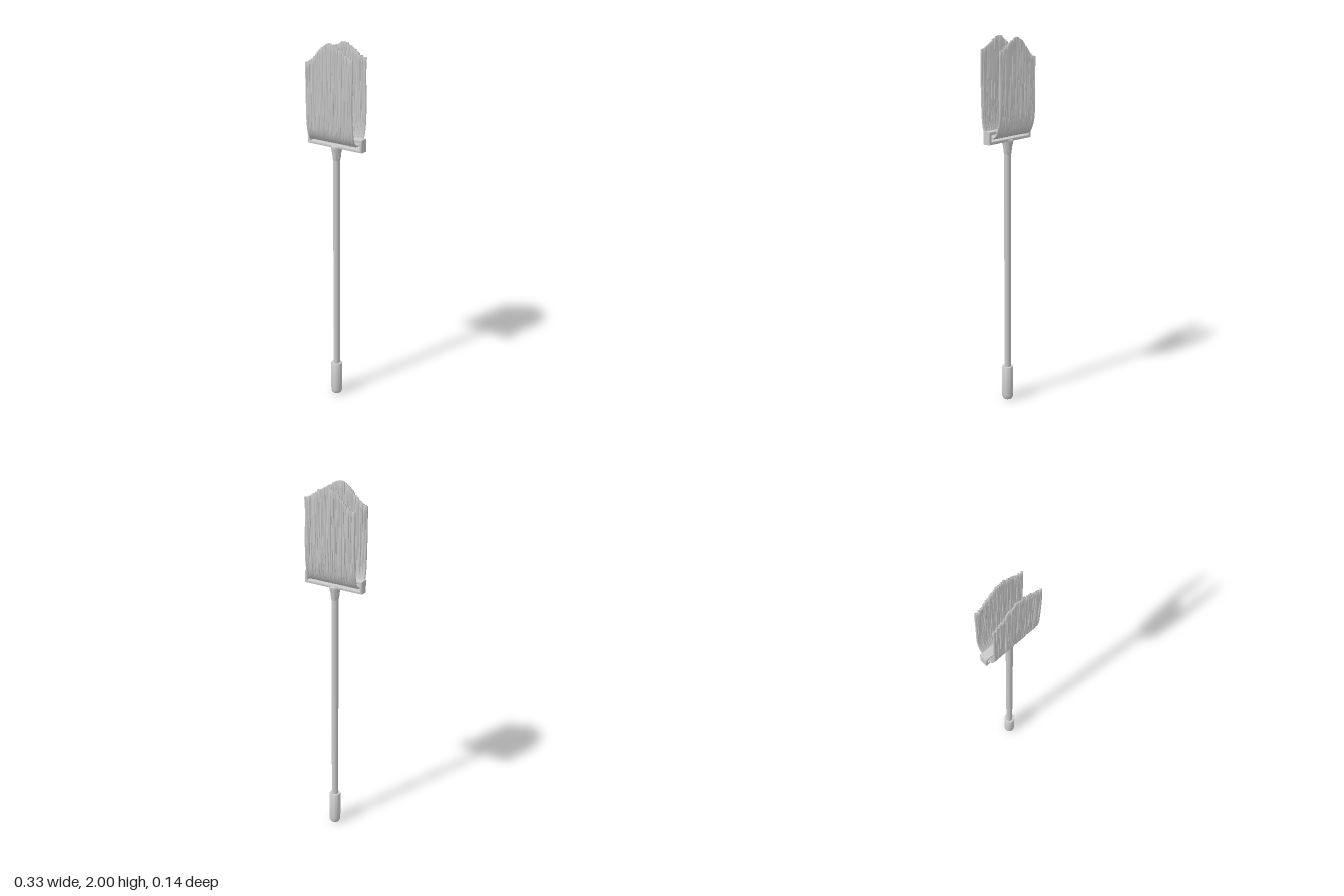
import * as THREE from 'three';
import { toCreasedNormals } from 'three/addons/utils/BufferGeometryUtils.js';

const material = new THREE.MeshStandardMaterial({ color: 0xcccccc });

// Small seeded generator, returns -1..1
let seed = 7;
const jitter = () => {
  seed = (seed * 16807) % 2147483647;
  return (seed / 2147483647) * 2 - 1;
};

function addMesh(parent, name, geometry) {
  const mesh = new THREE.Mesh(geometry, material);
  mesh.name = name;
  parent.add(mesh);
  return mesh;
}

function lathe(points) {
  const profile = points.map(([r, y]) => new THREE.Vector2(r, y));
  return toCreasedNormals(new THREE.LatheGeometry(profile, 24), 0.7);
}

// Rectangular loop that the strands pass through
function frameGeometry() {
  const shape = new THREE.Shape();
  const w = 0.164, bottom = 1.466, top = 1.526;
  shape.moveTo(-w, bottom).lineTo(w, bottom).lineTo(w, top).lineTo(-w, top).closePath();
  const hole = new THREE.Path();
  const iw = 0.156, ib = 1.475, it = 1.517;
  hole.moveTo(-iw, ib).lineTo(-iw, it).lineTo(iw, it).lineTo(iw, ib).closePath();
  shape.holes.push(hole);
  const geometry = new THREE.ExtrudeGeometry(shape, {
    depth: 0.036, bevelThickness: 0.004, bevelSize: 0.003, bevelSegments: 2,
  });
  geometry.translate(0, 0, -0.018);
  return toCreasedNormals(geometry, 0.9);
}

// Height of the strand tips: a hump, lower on the right side
const tipHeight = (x) => {
  const [span, drop] = x < 0 ? [0.148, 0.1] : [0.135, 0.063];
  return 1.994 - drop * (0.5 - 0.5 * Math.cos(Math.PI * Math.min(1, Math.abs(x) / span))) ;
};

// One strand folded under the upper bar, standing up on both sides
function strandGeometry(x) {
  const side = (s) => {
    const z = s < 0 ? 0.059 : 0.056;
    const top = tipHeight(x) + jitter() * 0.003 - (s < 0 ? 0.006 : 0);
    const at = (y, depth, wobble) => new THREE.Vector3(
      x + jitter() * wobble * 0.5, y, s * (depth + jitter() * wobble));
    return [
      at(1.493, 0.014, 0), at(1.503, 0.032, 0.001), at(1.535, 0.047, 0.002),
      at(1.58, z - 0.003, 0.003), at(1.7, z, 0.004),
      at(1.85, z, 0.004), at(top, z, 0.003),
    ];
  };
  const path = new THREE.CatmullRomCurve3([...side(1).reverse(), ...side(-1)]);
  const rings = 56, sides = 7;
  const geometry = new THREE.TubeGeometry(path, rings, 0.0062, sides);

  // Close both ends with a blunt tip
  const pos = geometry.attributes.position;
  for (const [end, next] of [[0, 1], [rings, rings - 1]]) {
    const tip = path.getPointAt(end / rings);
    const shift = tip.clone().sub(path.getPointAt(next / rings)).multiplyScalar(0.85);
    for (let j = 0; j <= sides; j++) {
      const a = end * (sides + 1) + j, b = next * (sides + 1) + j;
      pos.setXYZ(a, tip.x, tip.y, tip.z);
      pos.setXYZ(b, pos.getX(b) + shift.x, pos.getY(b) + shift.y, pos.getZ(b) + shift.z);
    }
  }
  geometry.computeVertexNormals();
  return geometry;
}

export function createModel() {
  const model = new THREE.Group();
  model.name = 'stringMop';

  // Handle
  addMesh(model, 'grip', lathe([
    [0, 0], [0.016, 0.001], [0.025, 0.006], [0.03, 0.016], [0.031, 0.03],
    [0.031, 0.194], [0.029, 0.198], [0.018, 0.198],
  ]));
  addMesh(model, 'pole', new THREE.CylinderGeometry(0.018, 0.018, 1.25, 24).translate(0, 0.815, 0));
  addMesh(model, 'socket', lathe([
    [0.018, 1.395], [0.021, 1.405], [0.023, 1.43], [0.028, 1.452], [0.03, 1.462],
    [0.03, 1.468], [0.022, 1.474], [0, 1.474],
  ]));

  // Head
  addMesh(model, 'frame', frameGeometry());
  const strands = new THREE.Group();
  strands.name = 'strands';
  model.add(strands);
  const count = 36, left = -0.143, right = 0.13;
  for (let i = 0; i < count; i++) {
    const x = left + ((right - left) * i) / (count - 1);
    addMesh(strands, 'strand', strandGeometry(x));
  }
  return model;
}
